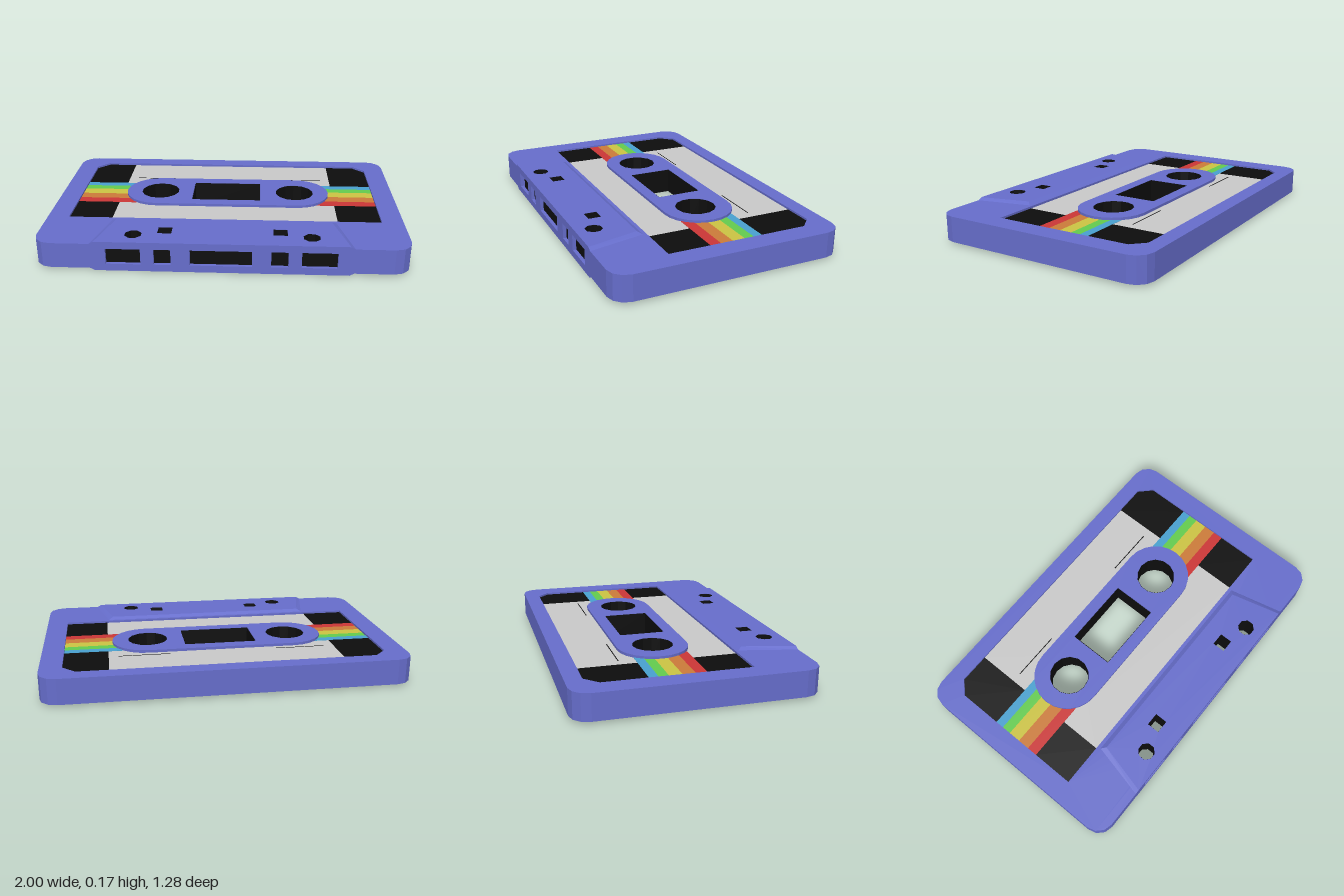
import * as THREE from 'three';

const material = (name, color, side = THREE.FrontSide) =>
  Object.assign(new THREE.MeshStandardMaterial({ color, side }), { name });

// Points on an arc; x is width, second axis is depth (z)
function arc(cx, cz, r, from, to, steps) {
  return Array.from({ length: steps + 1 }, (_, i) => {
    const a = (from + (to - from) * i / steps) * Math.PI;
    return [cx + r * Math.cos(a), cz + r * Math.sin(a)];
  });
}
const polygon = (cx, cz, r, sides) => arc(cx, cz, r, 1 / sides, 2 + 1 / sides, sides).slice(0, -1);
const rect = (x0, x1, z0, z1) => [[x0, z0], [x1, z0], [x1, z1], [x0, z1]];
const vectors = pts => pts.map(([x, z]) => new THREE.Vector2(x, z));

function makeShape(pts, holes = []) {
  const shape = new THREE.Shape(vectors(pts));
  shape.holes = holes.map(h => new THREE.Path(vectors(h)));
  return shape;
}

// Horizontal slab between heights y0 and y1
function slab(pts, holes, y0, y1) {
  return new THREE.ExtrudeGeometry(makeShape(pts, holes), { depth: y1 - y0, bevelEnabled: false })
    .rotateX(Math.PI / 2).translate(0, y1, 0);
}

// Open wall that lines a hole, pulled slightly inwards
function lining(pts, y0, y1) {
  const n = pts.length;
  const cx = pts.reduce((s, p) => s + p[0], 0) / n;
  const cz = pts.reduce((s, p) => s + p[1], 0) / n;
  const pos = [];
  for (let i = 0; i < n; i++) {
    const [a, b] = [pts[i], pts[(i + 1) % n]].map(([x, z]) => [cx + (x - cx) * 0.985, cz + (z - cz) * 0.985]);
    pos.push(a[0], y0, a[1], b[0], y0, b[1], b[0], y1, b[1]);
    pos.push(a[0], y0, a[1], b[0], y1, b[1], a[0], y1, a[1]);
  }
  const g = new THREE.BufferGeometry();
  g.setAttribute('position', new THREE.Float32BufferAttribute(pos, 3));
  g.computeVertexNormals();
  return g;
}

export function createModel() {
  const shell = material('shell violet blue', 0x666dcb);
  const black = material('black', 0x0d0d0d, THREE.DoubleSide);
  const paper = material('label grey', 0xc9c9c9);
  const stripes = [
    material('stripe blue', 0x48a0cf),
    material('stripe green', 0x63cb4e),
    material('stripe yellow', 0xcbc343),
    material('stripe orange', 0xcb7b39),
    material('stripe red', 0xcb3636),
  ];

  const model = new THREE.Group();
  model.name = 'cassette';
  const add = (parent, name, geometry, mat) => {
    const mesh = new THREE.Mesh(geometry, mat);
    mesh.name = name;
    parent.add(mesh);
    return mesh;
  };

  const HEIGHT = 0.168, LOW = 0.013, HIGH = 0.155;
  const W = 1, D = 0.64, R = 0.095;

  // Small through holes near the front edge
  const guideHoles = [-1, 1].flatMap(s => [
    polygon(s * 0.477, 0.54, 0.048, 8),
    rect(s * 0.312 - 0.038, s * 0.312 + 0.038, 0.45, 0.523),
  ]);

  // Main shell, notched at the front for the window panel
  const outline = [
    ...arc(W - R, D - R, R, 0, 0.5, 3),
    [0.65, D], [0.65, 0.595], [-0.65, 0.595], [-0.65, D],
    ...arc(-W + R, D - R, R, 0.5, 1, 3),
    ...arc(-W + R, -D + R, R, 1, 1.5, 3),
    ...arc(W - R, -D + R, R, 1.5, 2, 3),
  ];
  const recess = [[-0.88, 0.308], [-0.88, -0.48], [-0.81, -0.55], [0.81, -0.55], [0.88, -0.48], [0.88, 0.308]];
  add(model, 'shell', slab(outline, [recess, ...guideHoles], LOW, HIGH), shell);

  // Front panel with tape openings and a dark backing
  const openings = [[-0.612, -0.427], [-0.357, -0.267], [-0.166, 0.162], [0.262, 0.352], [0.422, 0.61]]
    .map(([a, b]) => rect(a, b, 0.04, 0.128));
  add(model, 'frontPanel', new THREE.ExtrudeGeometry(
    makeShape(rect(-0.65, 0.65, LOW, HIGH), openings), { depth: 0.02, bevelEnabled: false },
  ).translate(0, 0, D - 0.02), shell);
  add(model, 'openingBacking', new THREE.BoxGeometry(1.3, HIGH - LOW, 0.006).translate(0, HEIGHT / 2, 0.6), black);

  // Rounded hub plate with two reel holes and the centre window
  const midZ = -0.092;
  const stadium = [...arc(0.415, midZ, 0.197, -0.5, 0.5, 12), ...arc(-0.415, midZ, 0.197, 0.5, 1.5, 12)];
  const hubHoles = [
    polygon(-0.408, midZ + 0.004, 0.114, 14),
    polygon(0.408, midZ + 0.004, 0.114, 14),
    rect(-0.207, 0.203, -0.22, 0.038),
  ];
  add(model, 'hubPlate', slab(stadium, hubHoles, HEIGHT - 0.158, 0.158), shell);

  // Dark walls inside all through holes
  hubHoles.forEach(h => add(model, 'hubHoleLining', lining(h, 0.011, 0.157), black));
  guideHoles.forEach(h => add(model, 'guideHoleLining', lining(h, 0.001, 0.167), black));

  // One broad side: label and raised head plate, used for top and bottom
  function makeFace(name) {
    const face = new THREE.Group();
    face.name = name;
    const y = 0.143, t = 0.004;
    add(face, 'label', slab(rect(-0.64, 0.64, -0.55, 0.308), [stadium], y - t, y), paper);
    for (const s of [-1, 1]) {
      const backBlock = [[0.637, -0.55], [0.81, -0.55], [0.88, -0.48], [0.88, -0.233], [0.637, -0.233]];
      const frontBlock = rect(0.637, 0.88, 0.067, 0.308);
      for (const block of [backBlock, frontBlock]) {
        add(face, 'labelDarkBlock', slab(block.map(([x, z]) => [s * x, z]), [], y - t, y + 0.001), black);
      }
      // Rainbow stripes running into the hub plate
      const edges = [-0.233, -0.184, -0.131, -0.061, 0.007, 0.067];
      stripes.forEach((m, i) => add(face, 'labelStripe',
        slab(rect(0.535, 0.88, edges[i], edges[i + 1]).map(([x, z]) => [s * x, z]), [], y - t, y + 0.0015), m));
      // Writing line
      add(face, 'writingLine', slab(rect(s * 0.44 - 0.143, s * 0.44 + 0.143, -0.324, -0.319), [], y - t, y + 0.001), black);
    }
    // Raised trapezoid with sloped back and sides
    const g = slab([[-0.6, 0.352], [0.6, 0.352], [0.672, D], [-0.672, D]], guideHoles, HIGH, HEIGHT);
    const p = g.attributes.position;
    for (let i = 0; i < p.count; i++) {
      if (p.getY(i) > HIGH + 0.005) continue;
      const x = p.getX(i), z = p.getZ(i);
      if (Math.abs(x) > 0.55) p.setX(i, x + Math.sign(x) * 0.024);
      if (z < 0.36) p.setZ(i, z - 0.024);
    }
    g.computeVertexNormals();
    add(face, 'headPlate', g, shell);
    model.add(face);
    return face;
  }
  makeFace('topFace');
  const bottom = makeFace('bottomFace');
  bottom.rotation.z = Math.PI;
  bottom.position.y = HEIGHT;

  return model;
}
